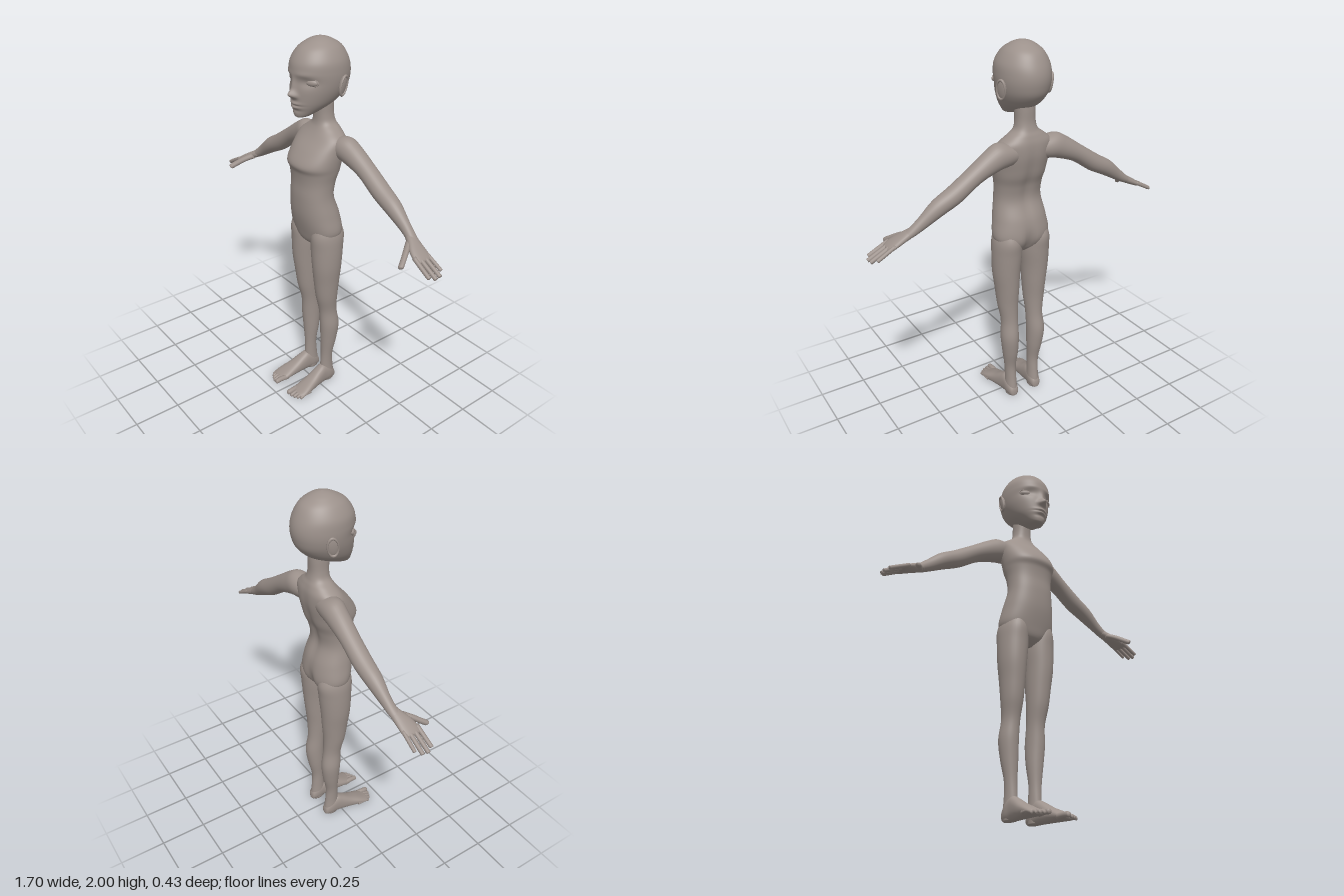
import * as THREE from 'three';

const X = new THREE.Vector3(1, 0, 0), Y = new THREE.Vector3(0, 1, 0), Z = new THREE.Vector3(0, 0, 1);

// Catmull-Rom blend of four numbers
const spline = (a, b, c, d, t) =>
  0.5 * (2 * b + (c - a) * t + (2 * a - 5 * b + 4 * c - d) * t * t + (3 * b - a - 3 * c + d) * t * t * t);

// Smooth skin over cross-sections [x, y, z, radiusU, radiusV]; power < 1 makes rings boxier
function loft(sections, U, V, { seg = 28, steps = 6, power = 1, shape } = {}) {
  const n = sections.length, rings = [];
  for (let i = 0; i < n - 1; i++) {
    const s = [-1, 0, 1, 2].map(k => sections[Math.min(n - 1, Math.max(0, i + k))]);
    for (let j = 0; j < steps; j++) rings.push(s[0].map((_, c) => spline(s[0][c], s[1][c], s[2][c], s[3][c], j / steps)));
  }
  rings.push(sections[n - 1]);
  const pos = [], idx = [], p = new THREE.Vector3();
  const bend = v => Math.sign(v) * Math.pow(Math.abs(v), power);
  for (const [x, y, z, a, b] of rings) {
    for (let k = 0; k < seg; k++) {
      const t = (k / seg) * Math.PI * 2, c = Math.cos(t), s = Math.sin(t);
      p.set(x, y, z).addScaledVector(U, a * bend(c)).addScaledVector(V, b * bend(s));
      if (shape) shape(p, s);
      pos.push(p.x, p.y, p.z);
    }
  }
  const first = rings[0], last = rings[rings.length - 1];
  pos.push(...first.slice(0, 3), ...last.slice(0, 3));
  const along = new THREE.Vector3(last[0] - first[0], last[1] - first[1], last[2] - first[2]);
  const flip = U.clone().cross(V).dot(along) < 0;
  const tri = (a, b, c) => (flip ? idx.push(a, c, b) : idx.push(a, b, c));
  const R = rings.length, end = R * seg;
  for (let k = 0; k < seg; k++) {
    const m = (k + 1) % seg;
    for (let i = 0; i < R - 1; i++) {
      const q = i * seg;
      tri(q + k, q + m, q + seg + m);
      tri(q + k, q + seg + m, q + seg + k);
    }
    tri(end, m, k);
    tri(end + 1, (R - 1) * seg + k, (R - 1) * seg + m);
  }
  const g = new THREE.BufferGeometry();
  g.setAttribute('position', new THREE.Float32BufferAttribute(pos, 3));
  g.setIndex(idx);
  g.computeVertexNormals();
  return g;
}

// Upright section from height, half width, front z and back z
const upright = ([y, w, f, b]) => [0, y, (f + b) / 2, w, (f - b) / 2];
const bump = (d, s) => Math.exp(-(d * d) / (2 * s * s));

// Rounded finger or toe through points, with U and V across it
function digit(points, r, U, V) {
  const n = points.length, tip = points[n - 1], prev = points[n - 2];
  const dir = new THREE.Vector3(...tip).sub(new THREE.Vector3(...prev)).normalize();
  const s = points.map((q, i) => [...q, r * (1 - 0.15 * i / n), r * (1 - 0.15 * i / n)]);
  for (const [d, k] of [[0.5, 0.65], [0.72, 0.1]]) {
    s.push([...new THREE.Vector3(...tip).addScaledVector(dir, r * d).toArray(), r * k, r * k]);
  }
  return loft(s, U, V, { seg: 12, steps: 4 });
}

export function createModel() {
  const model = new THREE.Group();
  model.name = 'mannequin';
  const clay = new THREE.MeshStandardMaterial({ color: 0x9c918b });
  clay.name = 'warm grey clay';
  const add = (parent, name, geometry) => {
    const m = new THREE.Mesh(geometry, clay);
    m.name = name;
    parent.add(m);
    return m;
  };

  // Torso and neck, with a shallow groove down the back
  const torso = [
    [0.905, 0.03, -0.01, -0.08], [0.94, 0.1, 0.035, -0.12], [1.0, 0.155, 0.055, -0.148], [1.1, 0.145, 0.077, -0.137],
    [1.2, 0.128, 0.083, -0.105], [1.28, 0.128, 0.08, -0.115], [1.34, 0.138, 0.086, -0.138], [1.385, 0.146, 0.099, -0.15],
    [1.45, 0.15, 0.06, -0.162], [1.51, 0.145, 0.008, -0.162], [1.55, 0.1, -0.02, -0.152], [1.58, 0.062, -0.032, -0.14],
    [1.62, 0.051, -0.034, -0.132], [1.68, 0.05, -0.03, -0.132], [1.74, 0.05, -0.03, -0.13],
  ].map(upright);
  add(model, 'torso', loft(torso, X, Z, {
    seg: 56, power: 0.9,
    shape: (p, s) => {
      if (s < 0) p.z += bump(p.x, 0.02) * (0.012 * bump(p.y - 1.3, 0.13) + 0.022 * bump(p.y - 0.97, 0.05));
    },
  }));

  // Head, with the face modelled by soft bumps
  const head = [
    [1.628, 0.012, 0.078, 0.05], [1.636, 0.036, 0.088, 0.01], [1.66, 0.062, 0.094, -0.06], [1.7, 0.094, 0.098, -0.142],
    [1.75, 0.117, 0.099, -0.192], [1.8, 0.129, 0.097, -0.211], [1.85, 0.132, 0.101, -0.214], [1.9, 0.125, 0.092, -0.2],
    [1.95, 0.097, 0.058, -0.17], [1.98, 0.062, 0.01, -0.126], [1.994, 0.032, -0.025, -0.092], [2.0, 0.003, -0.055, -0.062],
  ].map(upright);
  add(model, 'head', loft(head, X, Z, {
    seg: 112, steps: 11,
    shape: (p, s) => {
      if (s <= 0) return;
      const { x, y } = p, ax = Math.abs(x);
      p.z += s * (
        0.013 * bump(x, 0.012) * bump(y - 1.785, 0.026) +     // nose bridge
        0.03 * bump(x, 0.013) * bump(y - 1.749, 0.013) +      // nose tip
        0.009 * bump(ax - 0.02, 0.008) * bump(y - 1.742, 0.008) + // nostrils
        0.009 * bump(x, 0.026) * bump(y - 1.703, 0.006) +     // upper lip
        0.009 * bump(x, 0.022) * bump(y - 1.684, 0.006) -     // lower lip
        0.005 * bump(x, 0.03) * bump(y - 1.694, 0.003) -      // mouth line
        0.004 * bump(x, 0.03) * bump(y - 1.668, 0.007) +      // above the chin
        0.004 * bump(ax - 0.06, 0.03) * bump(y - 1.846, 0.01) - // brow
        0.014 * bump(ax - 0.074, 0.027) * bump(y - 1.811, 0.017)); // eye socket
    },
  }));

  // One side of everything paired
  const side = new THREE.Group();
  side.name = 'leftSide';

  // Eye and lid rim
  const eye = new THREE.Group();
  eye.name = 'eye';
  eye.position.set(0.076, 1.81, 0.048);
  eye.rotation.y = 0.52;
  side.add(eye);
  add(eye, 'eyeball', new THREE.SphereGeometry(1, 28, 18)).scale.set(0.034, 0.018, 0.016);
  const lid = add(eye, 'eyelids', new THREE.TorusGeometry(1, 0.1, 10, 36));
  lid.scale.set(0.034, 0.018, 0.04);
  lid.position.z = 0.006;

  // Ear with raised rim
  const ear = new THREE.Group();
  ear.name = 'ear';
  ear.position.set(0.133, 1.787, -0.09);
  ear.rotation.set(-0.15, 0.3, -0.08);
  side.add(ear);
  add(ear, 'earShell', new THREE.SphereGeometry(1, 20, 20)).scale.set(0.011, 0.05, 0.028);
  const rim = add(ear, 'earRim', new THREE.TorusGeometry(1, 0.16, 10, 32).rotateY(Math.PI / 2));
  rim.scale.set(0.04, 0.047, 0.026);
  rim.position.x = 0.006;

  // Arm
  const across = new THREE.Vector3(0.53, 0.85, 0);
  add(side, 'arm', loft([
    [0.05, 1.475, -0.095, 0.05, 0.05], [0.13, 1.474, -0.1, 0.071, 0.06], [0.2, 1.453, -0.105, 0.061, 0.056],
    [0.3, 1.403, -0.11, 0.047, 0.049], [0.41, 1.331, -0.111, 0.047, 0.048], [0.5, 1.282, -0.109, 0.043, 0.042],
    [0.58, 1.226, -0.106, 0.031, 0.029], [0.635, 1.189, -0.1, 0.023, 0.027], [0.67, 1.169, -0.09, 0.018, 0.03],
  ], across, Z, { seg: 32 }));

  // Hand
  const handUp = new THREE.Vector3(0.46, 0.89, 0);
  add(side, 'palm', loft([
    [0.62, 1.195, -0.1, 0.02, 0.024], [0.65, 1.18, -0.092, 0.021, 0.031], [0.69, 1.159, -0.08, 0.019, 0.042],
    [0.73, 1.138, -0.074, 0.016, 0.047], [0.752, 1.127, -0.073, 0.011, 0.045], [0.758, 1.124, -0.073, 0.004, 0.038],
  ], handUp, Z, { seg: 24, power: 0.9 }));
  [[-0.11, 0.815], [-0.085, 0.836], [-0.059, 0.839], [-0.034, 0.825]].forEach(([z, x], i) => {
    const h = t => 1.14 - 0.52 * (t - 0.73);
    const splay = (z + 0.073) * 0.12;
    add(side, 'finger' + (i + 1), digit(
      [[0.725, h(0.725), z], [0.77, h(0.77), z + splay / 2], [x, h(x), z + splay]], i ? 0.0115 : 0.01, handUp, Z));
  });
  add(side, 'thumb', digit(
    [[0.645, 1.175, -0.075], [0.672, 1.157, -0.035], [0.695, 1.135, 0.002], [0.713, 1.115, 0.034]],
    0.016, new THREE.Vector3(0.85, 0.2, -0.49).normalize(), new THREE.Vector3(0.3, 0.78, 0.55).normalize()));

  // Leg
  add(side, 'leg', loft([
    [0.085, 1.06, -0.04, 0.045, 0.07], [0.086, 0.99, -0.046, 0.07, 0.095], [0.085, 0.91, -0.045, 0.077, 0.091],
    [0.088, 0.8, -0.043, 0.072, 0.083], [0.085, 0.7, -0.045, 0.064, 0.073], [0.083, 0.6, -0.048, 0.056, 0.062],
    [0.08, 0.5, -0.06, 0.046, 0.051], [0.084, 0.4, -0.07, 0.049, 0.055], [0.08, 0.3, -0.068, 0.043, 0.047],
    [0.076, 0.2, -0.06, 0.032, 0.035], [0.074, 0.12, -0.06, 0.03, 0.038], [0.074, 0.05, -0.062, 0.032, 0.044],
    [0.074, 0.006, -0.064, 0.028, 0.04],
  ], X, Z, { seg: 36 }));

  // Foot and toes
  add(side, 'foot', loft([
    [0.074, 0.024, -0.111, 0.008, 0.01], [0.074, 0.032, -0.103, 0.024, 0.028], [0.075, 0.05, -0.07, 0.034, 0.05],
    [0.077, 0.059, -0.03, 0.035, 0.059], [0.08, 0.051, 0.01, 0.038, 0.051], [0.085, 0.037, 0.06, 0.043, 0.037],
    [0.09, 0.026, 0.11, 0.049, 0.026], [0.092, 0.018, 0.145, 0.049, 0.018], [0.091, 0.014, 0.168, 0.04, 0.012],
    [0.09, 0.013, 0.174, 0.025, 0.005],
  ], X, Y, { seg: 32, power: 0.85 }));
  [[0.059, 0.2, 0.0155], [0.083, 0.199, 0.0105], [0.102, 0.192, 0.01], [0.119, 0.182, 0.0095], [0.134, 0.168, 0.009]]
    .forEach(([x, z, r], i) => {
      add(side, 'toe' + (i + 1), digit(
        [[x - 0.003, 0.017, z - 0.07], [x, 0.019, z - 0.03], [x, r + 0.001, z]], r, X, Y));
    });

  // Mirror to the other side
  const other = side.clone();
  other.name = 'rightSide';
  other.scale.x = -1;
  model.add(side, other);
  return model;
}
